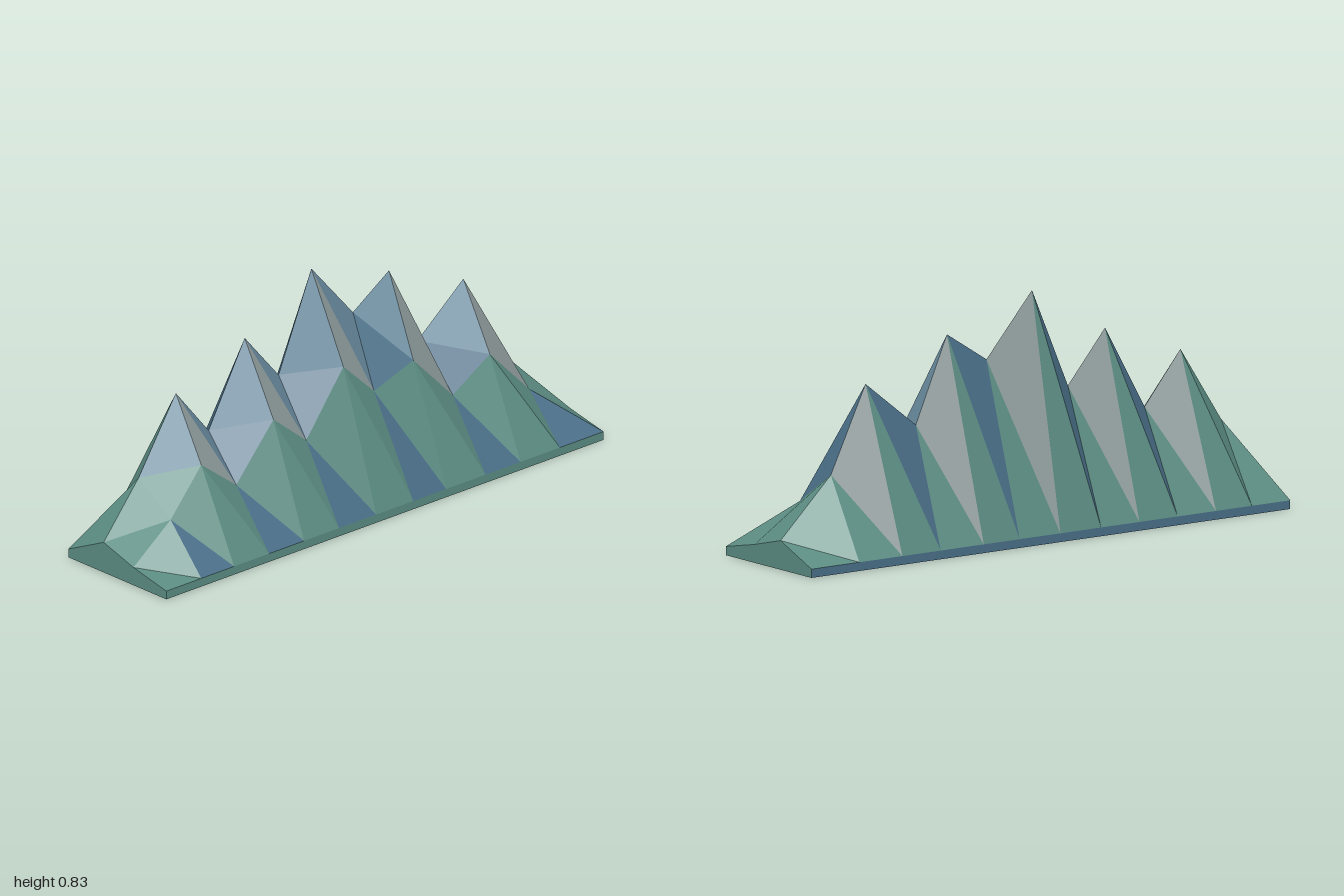
import * as THREE from 'three';

const COLORS = { green: 0x5c8d83, blue: 0x4a6f88, grey: 0x8d9a9b, steel: 0x688a9e };

// Cross rows of the range, from back to front
const HALF_DEPTH = 0.243, RIM = 0.03;
const rimX = [-1, -0.84, -0.69, -0.53, -0.37, -0.21, -0.04, 0.13, 0.28, 0.46, 0.62, 0.80, 1];
const ridgeX = [-1, -0.84, -0.67, -0.52, -0.355, -0.2, -0.05, 0.14, 0.305, 0.435, 0.645, 0.79, 1];
const ridgeY = [0.11, 0.3, 0.56, 0.38, 0.67, 0.49, 0.835, 0.62, 0.725, 0.43, 0.595, 0.3, 0.1];
const slopeX = [-1, -0.83, -0.69, -0.53, -0.36, -0.21, -0.04, 0.1, 0.28, 0.46, 0.63, 0.81, 1];
const slopeY = [0.065, 0.19, 0.35, 0.23, 0.42, 0.3, 0.52, 0.39, 0.45, 0.27, 0.37, 0.19, 0.063];

const row = (xs, y, z) => xs.map((x, i) => [x, Array.isArray(y) ? y[i] : y, z]);

// One flat-shaded mesh per colour in each part
function makePart(name, build) {
  const lists = { green: [], blue: [], grey: [], steel: [] };
  build((color, a, b, c) => lists[color].push(...a, ...b, ...c));
  const part = new THREE.Group();
  part.name = name;
  for (const [color, points] of Object.entries(lists)) {
    if (!points.length) continue;
    const geometry = new THREE.BufferGeometry();
    geometry.setAttribute('position', new THREE.Float32BufferAttribute(points, 3));
    geometry.computeVertexNormals();
    const material = new THREE.MeshStandardMaterial({ color: COLORS[color], flatShading: true });
    const mesh = new THREE.Mesh(geometry, material);
    mesh.name = `${name} ${color} facets`;
    part.add(mesh);
  }
  return part;
}

// Strip of facets between two rows, two triangles per step
function strip(tri, back, front, pick) {
  for (let i = 0; i < back.length - 1; i++) {
    const [lower, upper] = pick(i);
    tri(lower, back[i], front[i], front[i + 1]);
    tri(upper, back[i], front[i + 1], back[i + 1]);
  }
}

export function createModel() {
  const model = new THREE.Group();
  model.name = 'mountainRange';

  const backRim = row(rimX, RIM, -HALF_DEPTH);
  const ridge = row(ridgeX, ridgeY, -0.068);
  const slope = row(slopeX, slopeY, 0.08);
  const frontRim = row(rimX, RIM, HALF_DEPTH);
  const isFoot = i => i < 2 || i > 10;

  // Steep back faces
  model.add(makePart('backSlope', tri => strip(tri, backRim, ridge, i =>
    isFoot(i) ? ['green', 'green'] : [i % 2 ? 'blue' : 'grey', 'green'])));

  // Rocky peaks above the front slope
  model.add(makePart('peaks', tri => strip(tri, ridge, slope, i => {
    if (isFoot(i)) return ['green', i === 1 ? 'steel' : 'green'];
    return [i % 2 ? 'blue' : 'grey', i === 10 ? 'blue' : 'steel'];
  })));

  // Lower front foothills
  model.add(makePart('frontSlope', tri => strip(tri, slope, frontRim, i =>
    [i % 2 ? 'blue' : 'green', 'green'])));

  // Plinth: long sides, underside and the two end walls
  model.add(makePart('base', tri => {
    const quad = (c1, c2, a, b, c, d) => { tri(c1, a, b, c); tri(c2, a, c, d); };
    const D = HALF_DEPTH;
    quad('green', 'green', [-1, 0, D], [1, 0, D], [1, RIM, D], [-1, RIM, D]);
    quad('blue', 'blue', [1, 0, -D], [-1, 0, -D], [-1, RIM, -D], [1, RIM, -D]);
    quad('blue', 'green', [-1, 0, -D], [1, 0, -D], [1, 0, D], [-1, 0, D]);
    for (const [i, x] of [[0, -1], [12, 1]]) {
      const outline = [ridge[i], backRim[i], [x, 0, -D], [x, 0, D], frontRim[i]];
      for (let k = 0; k < outline.length - 1; k++) {
        const [p, q] = x > 0 ? [outline[k + 1], outline[k]] : [outline[k], outline[k + 1]];
        tri('green', slope[i], p, q);
      }
    }
  }));

  return model;
}
